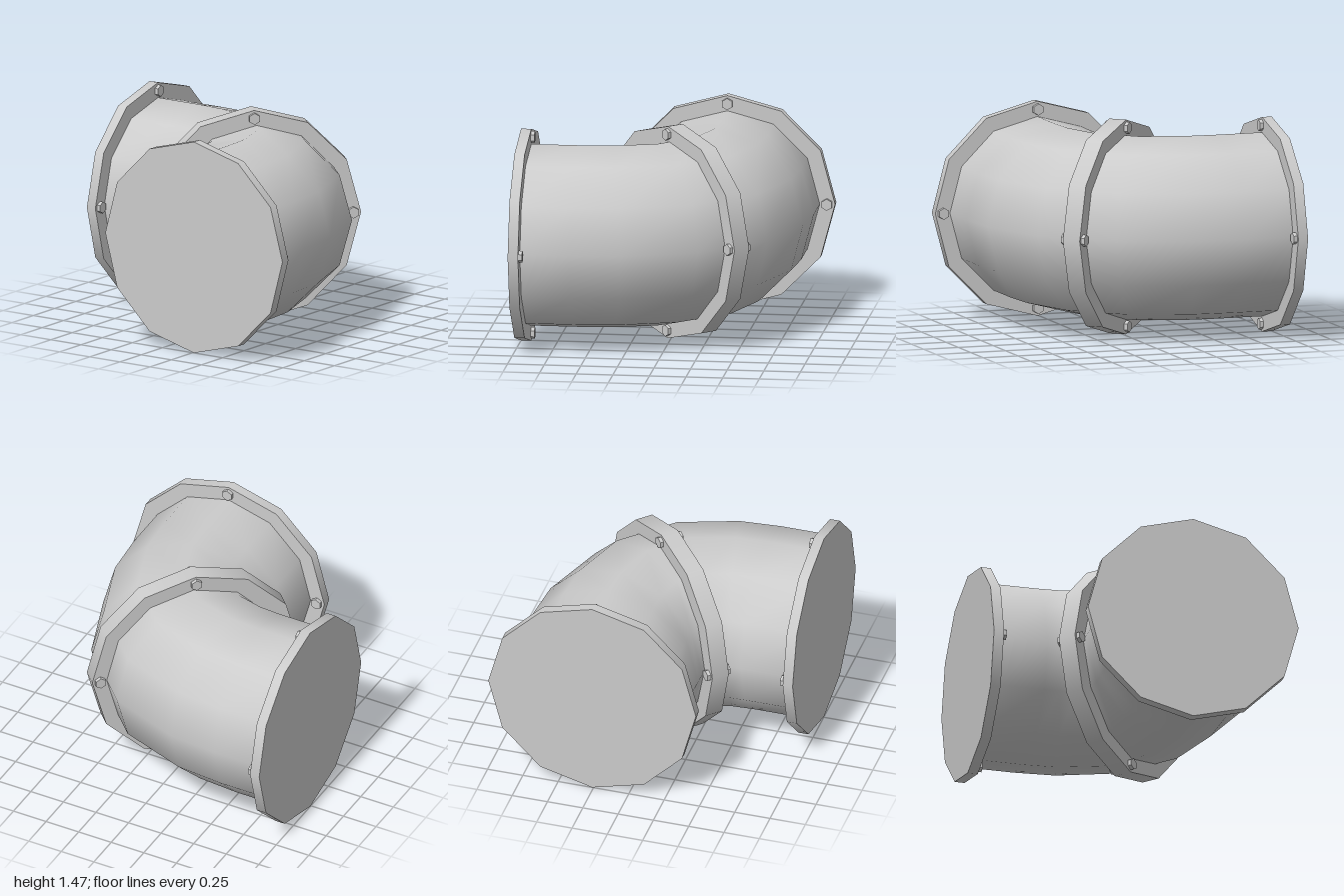
import * as THREE from 'three';

const CY = 0.735;      // height of the pipe axis
const PIPE_R = 0.63, FLANGE_R = 0.735, BOLT_R = 0.68, SIDES = 12;

const metal = new THREE.MeshStandardMaterial({ color: 0xcccccc });
const boltMetal = new THREE.MeshStandardMaterial({ color: 0xcccccc, flatShading: true });

// Smooth pipe skin swept through cross-sections [x, z, turn in degrees]
function makePipe() {
  const half = [[-0.98, 0.26, 0], [-0.6, 0.26, 0], [-0.38, 0.244, 12], [-0.083, 0.152, 33]];
  const mirrored = half.map(([x, z, a]) => [z, x, 90 - a]).reverse();
  const rings = [...half, ...mirrored];
  const pos = [], index = [];
  rings.forEach(([x, z, deg], i) => {
    const a = THREE.MathUtils.degToRad(deg);
    for (let j = 0; j < SIDES; j++) {
      const t = (j / SIDES) * Math.PI * 2;
      const out = PIPE_R * Math.sin(t);
      pos.push(x + out * Math.sin(a), CY + PIPE_R * Math.cos(t), z + out * Math.cos(a));
      if (i === rings.length - 1) continue;
      const k = (j + 1) % SIDES, p = i * SIDES, q = p + SIDES;
      index.push(p + j, p + k, q + j, p + k, q + k, q + j);
    }
  });
  const geo = new THREE.BufferGeometry();
  geo.setAttribute('position', new THREE.Float32BufferAttribute(pos, 3));
  geo.setIndex(index);
  geo.computeVertexNormals();
  const pipe = new THREE.Mesh(geo, metal);
  pipe.name = 'elbowPipe';
  return pipe;
}

// Disc across the pipe (local x is the pipe axis), with four hex bolts on each listed face
function makeFlange(name, x, z, deg, thickness, faces) {
  const group = new THREE.Group();
  group.name = name;
  group.position.set(x, CY, z);
  group.rotation.y = THREE.MathUtils.degToRad(deg);

  const disc = new THREE.Mesh(
    new THREE.CylinderGeometry(FLANGE_R, FLANGE_R, thickness, SIDES).rotateZ(-Math.PI / 2), metal);
  disc.name = 'flangeDisc';
  group.add(disc);

  const boltGeo = new THREE.CylinderGeometry(0.04, 0.04, 0.026, 6)
    .rotateY(Math.PI / 6).rotateZ(-Math.PI / 2);
  for (const side of faces) {
    for (let i = 0; i < 4; i++) {
      const t = (i * Math.PI) / 2;
      const bolt = new THREE.Mesh(boltGeo, boltMetal);
      bolt.name = 'bolt';
      bolt.position.set(side * (thickness / 2 + 0.012), BOLT_R * Math.cos(t), BOLT_R * Math.sin(t));
      group.add(bolt);
    }
  }
  return group;
}

export function createModel() {
  const model = new THREE.Group();
  model.name = 'pipeElbow';
  model.add(
    makePipe(),
    makeFlange('rightEndFlange', -0.965, 0.26, 0, 0.07, [1]),
    makeFlange('middleFlange', 0.023, 0.023, 45, 0.126, [-1, 1]),
    makeFlange('backEndFlange', 0.26, -0.965, 90, 0.07, [-1]),
  );
  return model;
}
